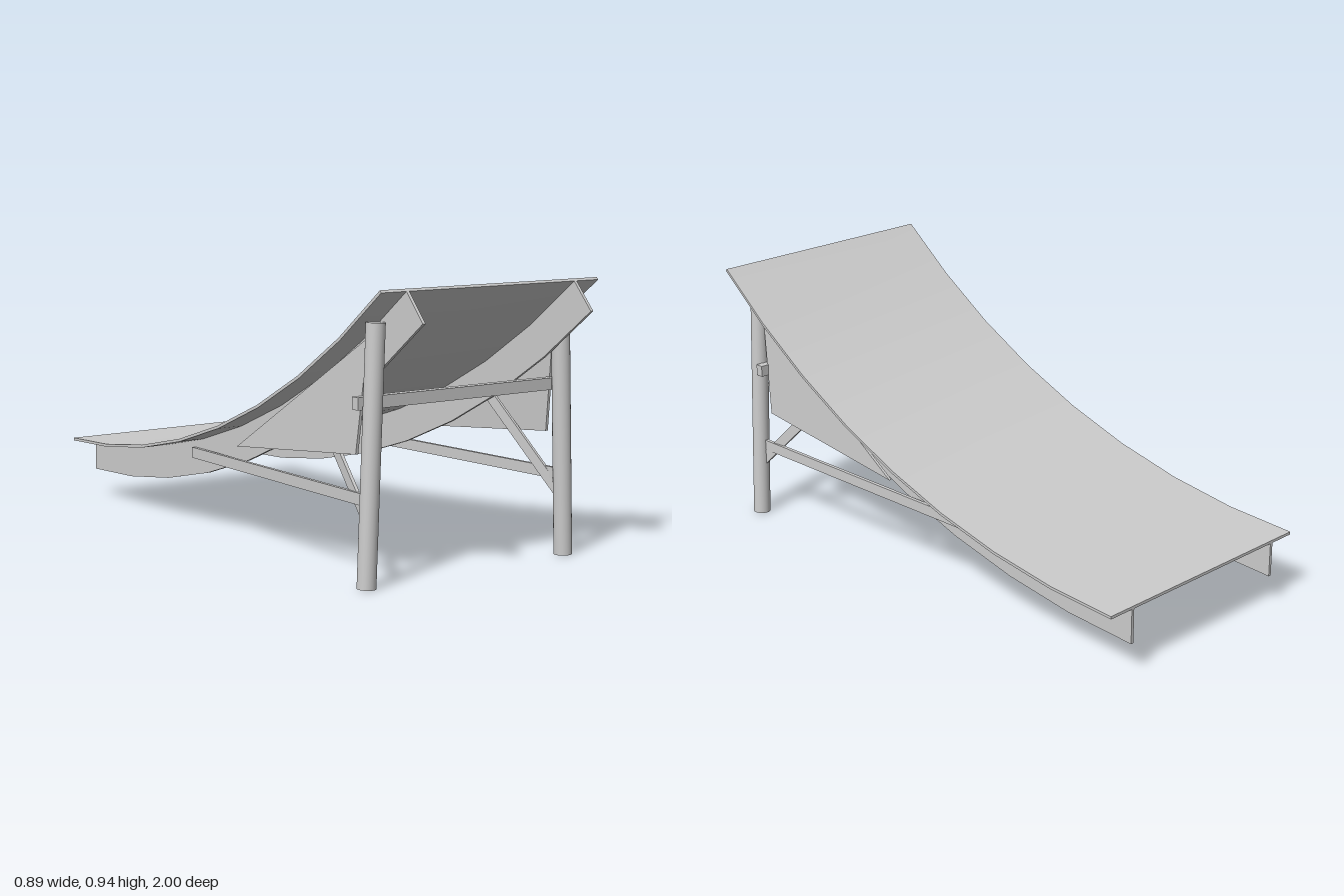
import * as THREE from 'three';
import { toCreasedNormals } from 'three/addons/utils/BufferGeometryUtils.js';

const MAT = new THREE.MeshStandardMaterial({ color: 0xcccccc });
const SEGMENTS = 8;

// Arc shared by the seat and its rails, in the (z, y) plane
const TILT = THREE.MathUtils.degToRad(20);
const HALF = THREE.MathUtils.degToRad(20.4);
const RADIUS = 2.925;
const CENTRE = [0.024 - RADIUS * Math.sin(TILT), 0.415 + RADIUS * Math.cos(TILT)];

function arcPoints(offset) {
  const points = [];
  for (let i = 0; i <= SEGMENTS; i++) {
    const a = TILT - HALF + (2 * HALF * i) / SEGMENTS;
    const r = RADIUS + offset;
    points.push(new THREE.Vector2(CENTRE[0] + r * Math.sin(a), CENTRE[1] - r * Math.cos(a)));
  }
  return points;
}

// Extrude a (z, y) outline across x, centred on x = 0
function plate(points, width) {
  const geo = new THREE.ExtrudeGeometry(new THREE.Shape(points), { depth: width, bevelEnabled: false });
  geo.translate(0, 0, -width / 2);
  geo.rotateY(-Math.PI / 2);
  return toCreasedNormals(geo, 0.4);
}

// Curved band between two offsets below the seat surface
const band = (top, bottom, width) => plate([...arcPoints(bottom), ...arcPoints(top).reverse()], width);

function add(parent, name, geometry) {
  const mesh = new THREE.Mesh(geometry, MAT);
  mesh.name = name;
  parent.add(mesh);
  return mesh;
}

// Flat bar running from one point to another
function bar(parent, name, from, to, thickness, height) {
  const a = new THREE.Vector3(...from);
  const b = new THREE.Vector3(...to);
  const mesh = add(parent, name, new THREE.BoxGeometry(thickness, height, a.distanceTo(b)));
  mesh.position.copy(a).add(b).multiplyScalar(0.5);
  mesh.lookAt(b);
}

export function createModel() {
  const model = new THREE.Group();
  model.name = 'lounger';

  add(model, 'seat', band(0, 0.01, 0.895));

  // Cross bar just behind the legs
  const cross = add(model, 'crossBar', new THREE.BoxGeometry(0.86, 0.04, 0.03));
  cross.position.set(0, 0.577, 0.775);

  const legBottom = 0.416, legTop = 0.384, legHeight = 0.828;
  const lean = Math.atan((legBottom - legTop) / legHeight);
  const legX = (y) => legBottom - Math.tan(lean) * y;

  for (const s of [1, -1]) {
    const side = new THREE.Group();
    side.name = s > 0 ? 'leftFrame' : 'rightFrame';
    model.add(side);

    // Curved rail under the seat
    add(side, 'rail', band(0.01, 0.131, 0.011)).position.x = s * 0.346;

    // Splayed round leg
    const leg = add(side, 'leg', new THREE.CylinderGeometry(0.031, 0.031, legHeight, 24));
    leg.position.set(s * legX(legHeight / 2), 0.001 + legHeight / 2, 0.818);
    leg.rotation.z = s * lean;

    // Triangular gusset leaning with the leg
    const outline = [[0.789, 0.78], [0.746, 0.412], [0.083, 0.348]].map((p) => new THREE.Vector2(...p));
    const gusset = add(side, 'gusset', plate(outline, 0.01));
    gusset.position.x = s * legBottom;
    gusset.rotation.z = s * lean;

    // Long stretcher and short diagonal brace from leg to rail
    bar(side, 'stretcher', [s * 0.402, 0.274, 0.81], [s * 0.359, 0.274, -0.27], 0.013, 0.038);
    bar(side, 'brace', [s * 0.405, 0.21, 0.805], [s * 0.357, 0.525, 0.485], 0.011, 0.037);
  }
  return model;
}
